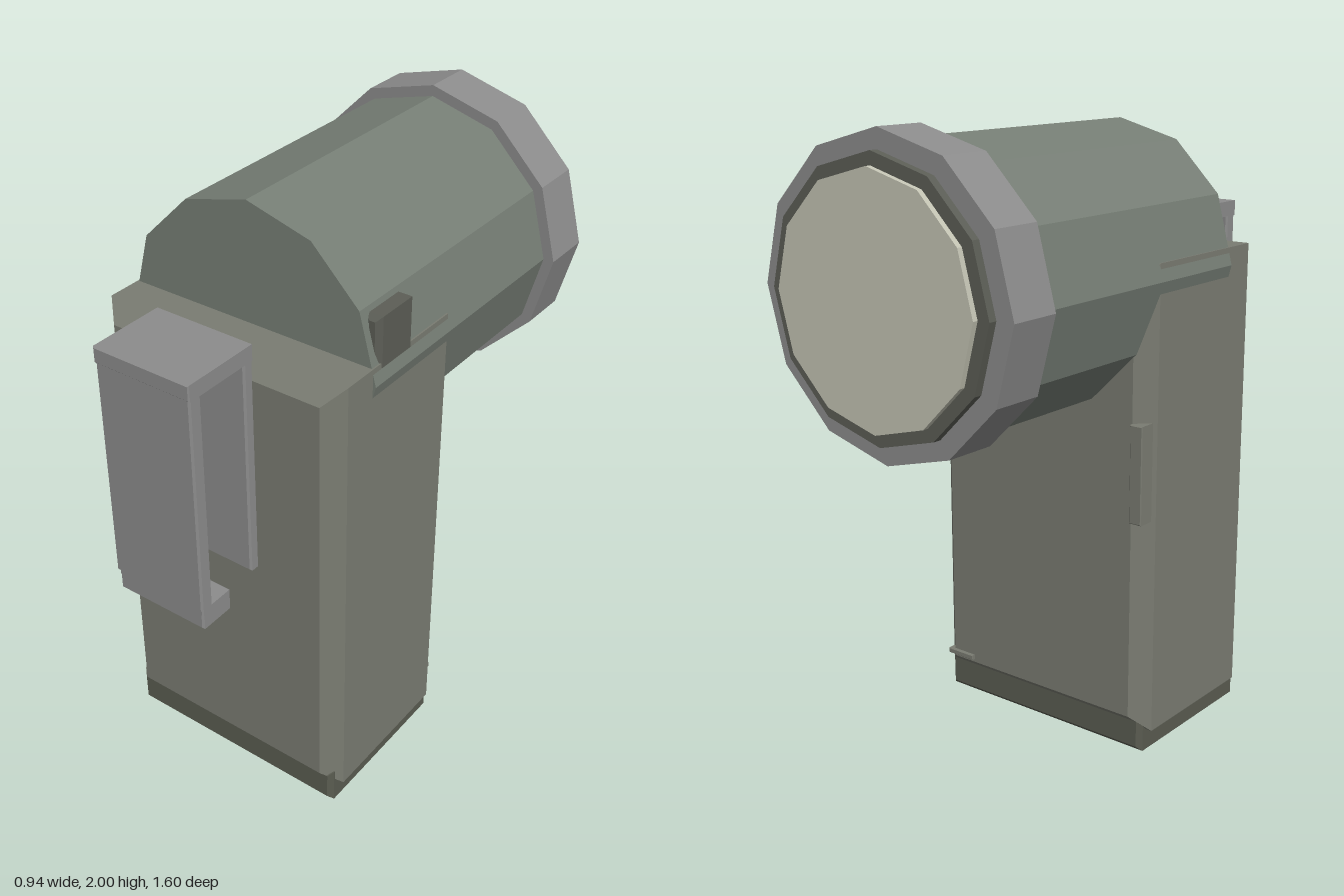
import * as THREE from 'three';

const mat = (color) => new THREE.MeshStandardMaterial({ color, flatShading: true });
const bodyMat = mat(0x7a7c72), headMat = mat(0x767e75), baseMat = mat(0x5a5c51);
const metalMat = mat(0x8c8c8c), darkMat = mat(0x5c5e56), lensMat = mat(0xc4c4b4);

// Box given by its limits; edges of the front and back faces are chamfered by b
function chamferBox(name, x0, x1, y0, y1, z0, z1, b, material) {
  const s = new THREE.Shape();
  s.moveTo(x0 + b, y0 + b);
  s.lineTo(x1 - b, y0 + b);
  s.lineTo(x1 - b, y1 - b);
  s.lineTo(x0 + b, y1 - b);
  s.closePath();
  const g = new THREE.ExtrudeGeometry(s, {
    depth: z1 - z0 - 2 * b, bevelEnabled: b > 0, bevelSize: b, bevelThickness: b, bevelSegments: 1,
  });
  g.translate(0, 0, z0 + b);
  const m = new THREE.Mesh(g, material);
  m.name = name;
  return m;
}

// Twelve-sided drum along z
function drum(name, r, y, z0, z1, material) {
  const g = new THREE.CylinderGeometry(r, r, z1 - z0, 12);
  g.rotateX(-Math.PI / 2);
  g.translate(0, y, (z0 + z1) / 2);
  const m = new THREE.Mesh(g, material);
  m.name = name;
  return m;
}

export function createModel() {
  const model = new THREE.Group();
  model.name = 'angleHeadFlashlight';

  // Battery body and screw-on base
  model.add(
    chamferBox('body', -0.425, 0.425, 0.07, 1.585, -0.088, 0.515, 0.055, bodyMat),
    chamferBox('baseCap', -0.405, 0.405, 0, 0.125, -0.068, 0.5, 0.016, baseMat),
  );

  // Lamp head, pointing backwards
  const head = new THREE.Group();
  head.name = 'lampHead';
  const cy = 1.53;
  head.add(
    drum('headBarrel', 0.435, cy, -0.6, 0.345, headMat),
    drum('bezelRing', 0.47, cy, -0.755, -0.585, metalMat),
    drum('lensSeat', 0.41, cy, -0.782, -0.75, darkMat),
    drum('lens', 0.37, cy, -0.8, -0.775, lensMat),
  );
  model.add(head);

  // Belt clip on the front, with its rivet
  const clip = new THREE.Group();
  clip.name = 'beltClip';
  clip.add(
    chamferBox('clipFrontStrip', -0.165, 0.165, 0.9, 1.63, 0.75, 0.797, 0.006, metalMat),
    chamferBox('clipTop', -0.167, 0.167, 1.617, 1.668, 0.537, 0.8, 0.004, metalMat),
    chamferBox('clipRearStrip', -0.165, 0.165, 0.905, 1.63, 0.537, 0.575, 0.006, metalMat),
    chamferBox('clipHook', -0.16, 0.16, 0.83, 0.9, 0.665, 0.79, 0.006, metalMat),
    chamferBox('clipHookWeb', -0.16, 0.16, 0.88, 0.92, 0.75, 0.79, 0.004, metalMat),
    drum('clipRivet', 0.055, 1.285, 0.5, 0.545, metalMat),
  );
  model.add(clip);

  // Slide switch on the left shoulder
  model.add(chamferBox('switch', 0.375, 0.427, 1.57, 1.73, 0.15, 0.32, 0.016, darkMat));

  // Small fittings on the back
  model.add(
    chamferBox('backStrip', -0.415, -0.37, 0.785, 1.1, -0.1, -0.04, 0.003, bodyMat),
    chamferBox('backCatch', 0.28, 0.39, 0.135, 0.152, -0.1, -0.07, 0.002, bodyMat),
  );
  return model;
}
